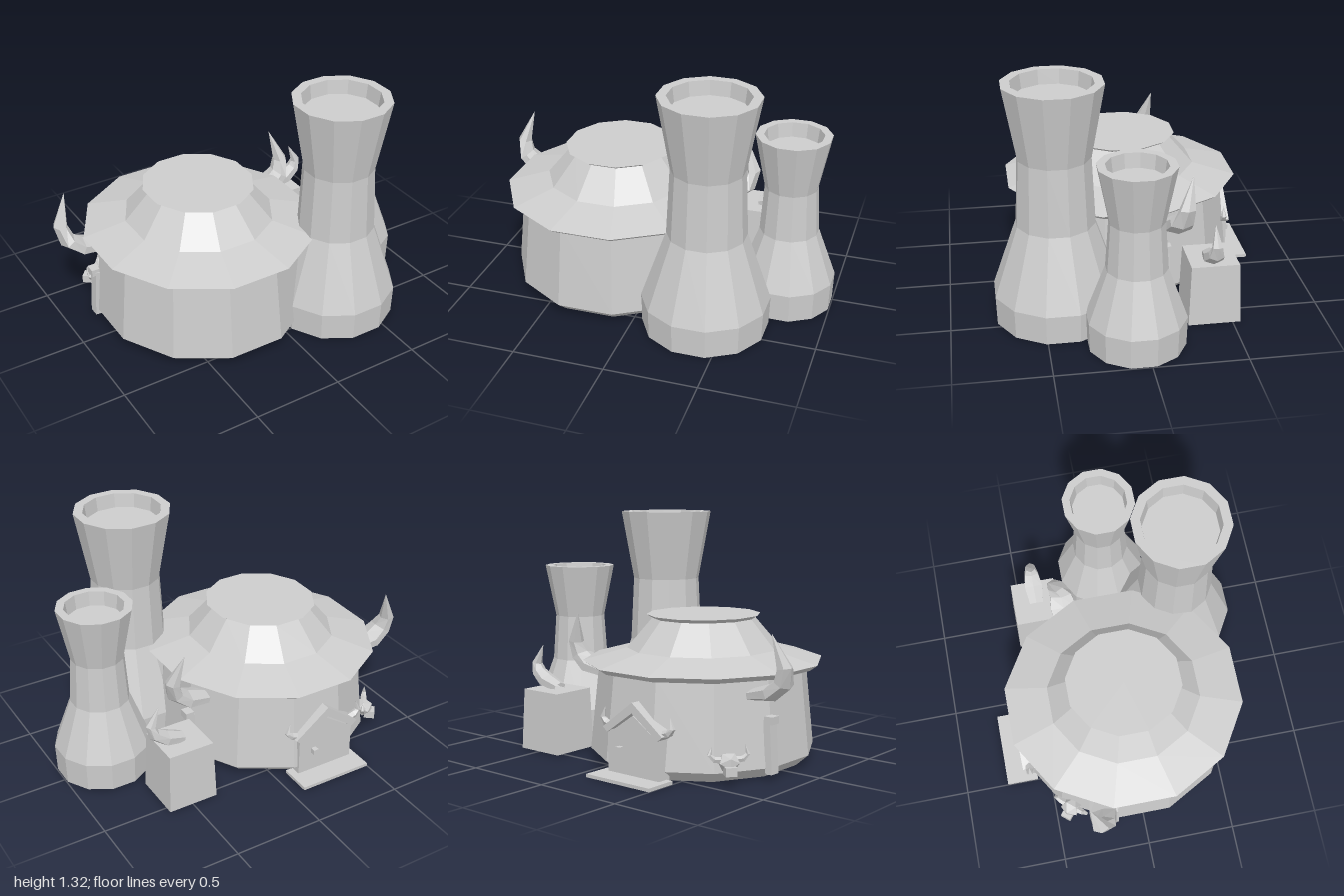
import * as THREE from 'three';

const stone = new THREE.MeshStandardMaterial({ color: 0xcccccc, side: THREE.DoubleSide });
stone.name = 'grey stone';

// Faceted mesh: every face gets its own normal
function facet(name, geometry, parent) {
  const g = geometry.index ? geometry.toNonIndexed() : geometry;
  g.computeVertexNormals();
  const mesh = new THREE.Mesh(g, stone);
  mesh.name = name;
  parent.add(mesh);
  return mesh;
}

// Twelve-sided turned form; radii are measured to the flats
function turned(name, profile, parent) {
  const k = 1 / Math.cos(Math.PI / 12);
  const pts = profile.map(([r, y]) => new THREE.Vector2(r * k, y));
  return facet(name, new THREE.LatheGeometry(pts, 12, Math.PI / 12), parent);
}

function box(name, w, h, d, x, y, z, parent) {
  const mesh = facet(name, new THREE.BoxGeometry(w, h, d), parent);
  mesh.position.set(x, y, z);
  return mesh;
}

// Horn lofted through stations [x, y, z, radius in plane, radius across]
function horn(name, stations, parent, sides = 6) {
  const pos = [], idx = [];
  stations.forEach(([x, y, z, r, rz], i) => {
    const a = stations[Math.max(i - 1, 0)], b = stations[Math.min(i + 1, stations.length - 1)];
    const len = Math.hypot(b[0] - a[0], b[1] - a[1]);
    const nx = -(b[1] - a[1]) / len, ny = (b[0] - a[0]) / len;
    for (let j = 0; j < sides; j++) {
      const t = (j / sides) * Math.PI * 2;
      pos.push(x + nx * r * Math.cos(t), y + ny * r * Math.cos(t), z + rz * Math.sin(t));
      if (i === 0) continue;
      const p = (i - 1) * sides + j, q = (i - 1) * sides + (j + 1) % sides;
      idx.push(p, p + sides, q, q, p + sides, q + sides);
    }
  });
  const g = new THREE.BufferGeometry();
  g.setAttribute('position', new THREE.Float32BufferAttribute(pos, 3));
  g.setIndex(idx);
  return facet(name, g, parent);
}

// Cooling tower with a shallow recessed mouth
function tower(name, x, z, profile, mouth, parent) {
  const top = profile[profile.length - 1][1];
  const t = turned(name, [...profile, [mouth, top], [mouth - 0.01, top - 0.08], [0, top - 0.08]], parent);
  t.position.set(x, 0, z);
}

function extruded(name, points, depth, parent) {
  const shape = new THREE.Shape(points.map(([x, y]) => new THREE.Vector2(x, y)));
  return facet(name, new THREE.ExtrudeGeometry(shape, { depth, bevelEnabled: false }), parent);
}

export function createModel() {
  const model = new THREE.Group();
  model.name = 'hornedHouseWithTowers';

  // Round house, slightly deeper than wide
  const house = new THREE.Group();
  house.name = 'house';
  house.position.set(-0.25, 0, -0.01);
  model.add(house);
  const wall = turned('wall', [[0.515, 0], [0.58, 0.06], [0.535, 0.525]], house);
  const roof = turned('roof', [[0, 0.525], [0.535, 0.525], [0.58, 0.515], [0.62, 0.545],
    [0.395, 0.61], [0.265, 0.77], [0.295, 0.79], [0, 0.79]], house);
  wall.scale.z = roof.scale.z = 1.05;
  wall.scale.z = 1.06;

  // Mirrored wall horns and side posts
  for (const s of [1, -1]) {
    const side = new THREE.Group();
    side.name = s > 0 ? 'leftSide' : 'rightSide';
    side.scale.x = s;
    house.add(side);
    horn('wallHorn', [[0.5, 0.44, -0.23, 0.03, 0.07], [0.62, 0.465, -0.235, 0.045, 0.085],
      [0.69, 0.52, -0.24, 0.045, 0.07], [0.712, 0.6, -0.265, 0.04, 0.048],
      [0.66, 0.77, -0.305, 0.001, 0.001]], side);
    box('sidePost', 0.04, 0.28, 0.06, 0.57, 0.17, -0.17, side).rotation.z = 0.06;
    box('postCap', 0.05, 0.04, 0.06, 0.575, 0.31, -0.175, side);
  }

  // Back door with gabled frame, knob and step
  const door = new THREE.Group();
  door.name = 'backDoor';
  door.position.set(-0.29, 0, -0.635);
  model.add(door);
  extruded('doorPanel', [[-0.15, 0.01], [0.15, 0.01], [0.15, 0.23], [0, 0.33], [-0.15, 0.23]], 0.09, door);
  extruded('gable', [[-0.2, 0.25], [-0.17, 0.225], [0, 0.345], [0.17, 0.225], [0.2, 0.25], [0, 0.4]],
    0.11, door).position.z = -0.01;
  for (const s of [1, -1]) {
    const tip = horn('gableHorn', [[0.16, 0.25, 0.03, 0.02, 0.025], [0.21, 0.265, 0.03, 0.02, 0.025],
      [0.235, 0.29, 0.03, 0.014, 0.016], [0.22, 0.345, 0.03, 0.001, 0.001]], door, 5);
    tip.scale.x = s;
    box('doorJamb', 0.025, 0.23, 0.08, s * 0.16, 0.125, 0.04, door);
  }
  box('doorKnob', 0.03, 0.03, 0.04, 0.08, 0.147, -0.01, door);
  box('doorStep', 0.425, 0.018, 0.18, 0.003, 0.009, -0.03, door);

  // Small horned ornament on the rear right wall
  const ornament = new THREE.Group();
  ornament.name = 'wallOrnament';
  ornament.position.set(-0.725, 0.12, -0.41);
  ornament.rotation.y = Math.atan2(-0.48, -0.4);
  model.add(ornament);
  const knob = facet('ornamentHead', new THREE.IcosahedronGeometry(0.06), ornament);
  knob.scale.set(1, 0.85, 1);
  box('ornamentSnout', 0.06, 0.045, 0.06, 0, -0.035, 0.04, ornament);
  for (const s of [1, -1]) {
    horn('ornamentHorn', [[0.03, 0.01, 0, 0.018, 0.02], [0.075, 0.015, 0, 0.016, 0.018],
      [0.1, 0.04, 0, 0.012, 0.012], [0.085, 0.085, 0, 0.001, 0.001]], ornament, 5).scale.x = s;
  }

  // Cooling towers
  tower('tallTower', 0.377, 0.418, [[0.332, 0], [0.337, 0.16], [0.207, 0.55], [0.19, 0.92], [0.26, 1.32]], 0.21, model);
  tower('shortTower', 0.742, 0.042, [[0.252, 0], [0.257, 0.16], [0.157, 0.44], [0.14, 0.7], [0.198, 1.0]], 0.155, model);

  // Tapered block with its own horn
  const block = new THREE.CylinderGeometry(0.13 * Math.SQRT2, 0.142 * Math.SQRT2, 0.34, 4);
  block.rotateY(Math.PI / 4);
  facet('block', block, model).position.set(0.495, 0.17, -0.4);
  horn('blockHorn', [[0.48, 0.345, -0.395, 0.03, 0.045], [0.58, 0.375, -0.395, 0.04, 0.06],
    [0.645, 0.42, -0.395, 0.035, 0.045], [0.66, 0.47, -0.395, 0.028, 0.03],
    [0.61, 0.575, -0.395, 0.001, 0.001]], model);

  return model;
}
